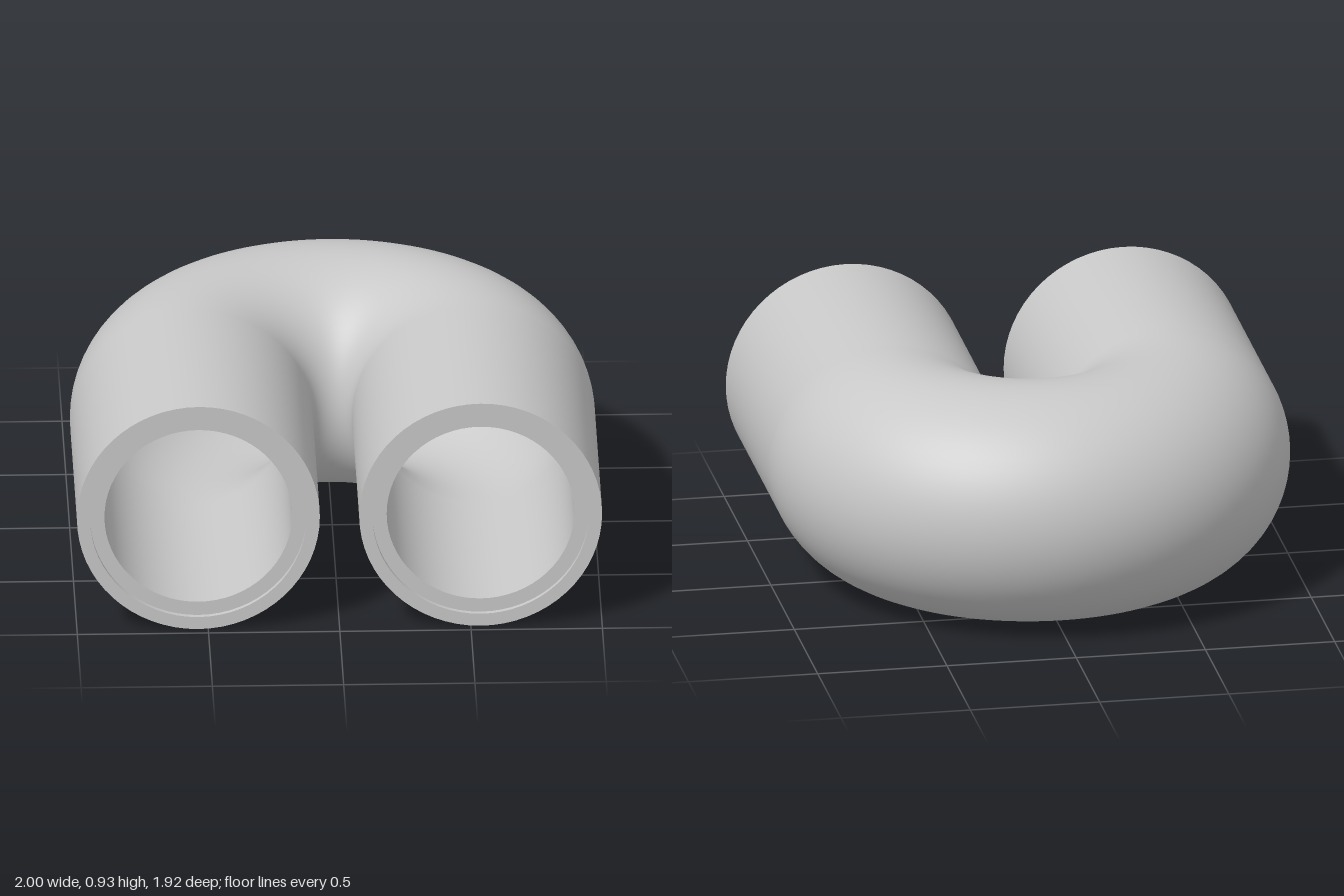
import * as THREE from 'three';
import { toCreasedNormals } from 'three/addons/utils/BufferGeometryUtils.js';

const SIDES = 64;       // segments around the pipe
const BEND = 0.5375;    // centre-line radius of the U-bend
const OUTER = 0.4625;   // outside radius of the pipe
const STEP = 0.4125;    // radius of the recessed step in each mouth
const BORE = 0.3575;    // inside radius of the pipe
const BEND_Z = 0.0375;  // where the legs meet the bend
const LENGTH = 0.925;   // length of each straight leg
const RECESS = 0.02;

// Turn a surface inside out, for the wall of the bore
function flip(geometry) {
  const index = geometry.index.array;
  for (let i = 0; i < index.length; i += 3) {
    [index[i], index[i + 1]] = [index[i + 1], index[i]];
  }
  geometry.computeVertexNormals();
  return geometry;
}

function halfTorus(radius) {
  return new THREE.TorusGeometry(BEND, radius, SIDES, 72, Math.PI).rotateX(-Math.PI / 2);
}

export function createModel() {
  const group = new THREE.Group();
  group.name = 'uBendPipe';
  const grey = new THREE.MeshStandardMaterial({ color: 0xc8c8c8 });
  grey.name = 'grey';

  function add(geometry, name, x = 0) {
    const mesh = new THREE.Mesh(geometry, grey);
    mesh.name = name;
    mesh.position.set(x, OUTER, BEND_Z);
    group.add(mesh);
  }

  // Straight leg: outer wall, rim, recessed step and bore in one profile
  const profile = [
    [OUTER, 0], [OUTER, LENGTH],
    [STEP, LENGTH], [STEP, LENGTH - RECESS],
    [BORE, LENGTH - RECESS], [BORE, 0],
  ].map(([r, y]) => new THREE.Vector2(r, y));
  const leg = toCreasedNormals(new THREE.LatheGeometry(profile, SIDES), 0.6).rotateX(Math.PI / 2);
  add(leg, 'leftLeg', BEND);
  add(leg, 'rightLeg', -BEND);

  // Half-circle bend joining the legs at the back
  add(halfTorus(OUTER), 'bendOuterWall');
  add(flip(halfTorus(BORE)), 'bendBore');

  return group;
}
